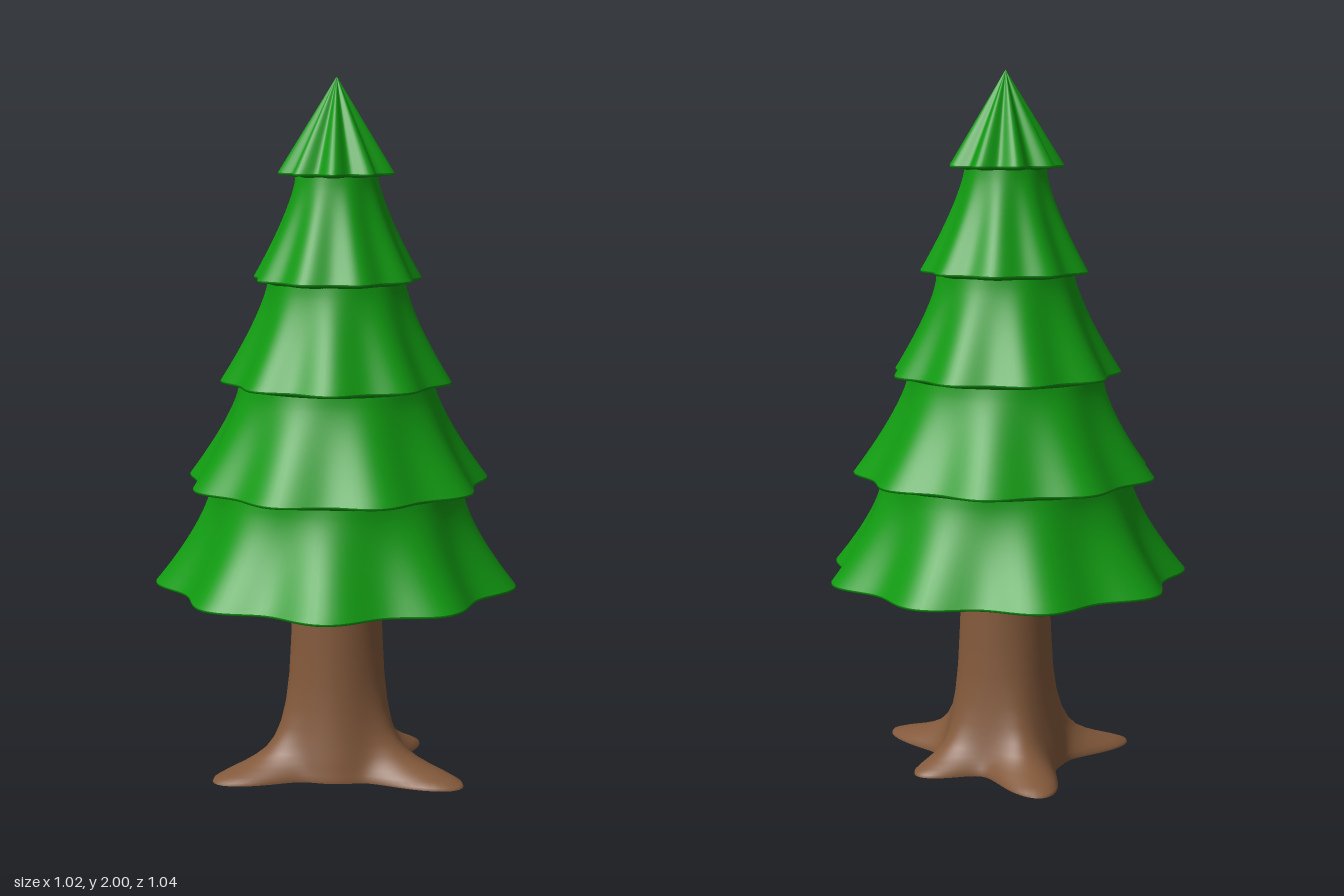
import * as THREE from 'three';

const CENTER_X = -0.015;
const SEGMENTS = 144;

// Smooth skin over closed rings; each row is [height, radius(angle)]
function ringSurface(rows) {
  const positions = [], index = [];
  rows.forEach(([y, radius], j) => {
    for (let i = 0; i < SEGMENTS; i++) {
      const a = (i / SEGMENTS) * Math.PI * 2;
      const r = radius(a);
      positions.push(r * Math.cos(a), y, r * Math.sin(a));
      if (j === rows.length - 1) continue;
      const p = j * SEGMENTS + i, q = j * SEGMENTS + (i + 1) % SEGMENTS;
      index.push(p, p + SEGMENTS, q, q, p + SEGMENTS, q + SEGMENTS);
    }
  });
  const geometry = new THREE.BufferGeometry();
  geometry.setAttribute('position', new THREE.Float32BufferAttribute(positions, 3));
  geometry.setIndex(index);
  geometry.computeVertexNormals();
  return geometry;
}

function addMesh(parent, name, rows, material) {
  const mesh = new THREE.Mesh(ringSurface(rows), material);
  mesh.name = name;
  parent.add(mesh);
}

// Foliage layers: rim height, rim radius, top height, top radius, inner radius
// and height of the underside, ripple depth at rim, slope curve
const TIERS = [
  { y: 0.568, r: 0.498, topY: 0.842, topR: 0.362, inR: 0.12, inY: 0.53, ripple: 0.026, curve: 1.5 },
  { y: 0.86, r: 0.42, topY: 1.135, topR: 0.28, inR: 0.345, inY: 0.835, ripple: 0.018, curve: 1.35 },
  { y: 1.15, r: 0.318, topY: 1.428, topR: 0.196, inR: 0.265, inY: 1.13, ripple: 0.014, curve: 1.35 },
  { y: 1.44, r: 0.231, topY: 1.725, topR: 0.116, inR: 0.185, inY: 1.422, ripple: 0.011, curve: 1.35 },
  { y: 1.735, r: 0.149, topY: 2.0, topR: 0, inR: 0.105, inY: 1.72, ripple: 0.017, curve: 1 },
];

// Roots: direction in degrees (from +x towards +z) and reach from the axis
const ROOTS = [[180, 0.395], [58, 0.42], [-13, 0.312], [-84, 0.375]];
const VALLEY = 0.185;

// Extra reach of the roots beyond the valley radius at a given angle
function rootReach(a) {
  let reach = 0;
  for (const [deg, r] of ROOTS) {
    const d = a - THREE.MathUtils.degToRad(deg);
    const wrapped = Math.atan2(Math.sin(d), Math.cos(d));
    reach += (r - VALLEY) * Math.exp(-((wrapped / 0.34) ** 2));
  }
  return reach;
}

export function createModel() {
  const group = new THREE.Group();
  const green = new THREE.MeshStandardMaterial({ color: 0x119a11 });
  const brown = new THREE.MeshStandardMaterial({ color: 0x83593b });

  // Foliage: nine-lobed skirts, every other one turned by half a lobe
  const foliage = new THREE.Group();
  foliage.name = 'foliage';
  TIERS.forEach((t, n) => {
    const wave = (a) => Math.cos(9 * a) * (n % 2 ? -1 : 1);
    const tier = new THREE.Group();
    tier.name = 'foliageTier' + (n + 1);
    const slope = [];
    const steps = 14;
    for (let k = 0; k <= steps; k++) {
      const u = k / steps;
      const fall = Math.pow(1 - u, t.curve);
      slope.push([
        t.y + (t.topY - t.y) * u,
        (a) => t.topR + (t.r - t.topR) * fall + t.ripple * (1 - u) * wave(a),
      ]);
    }
    const rim = (a) => t.r + t.ripple * wave(a);
    addMesh(tier, 'skirt', slope, green);
    addMesh(tier, 'underside', [
      [t.inY, () => t.inR],
      [t.inY + (t.y - t.inY) * 0.55, (a) => t.inR + (rim(a) - t.inR) * 0.6],
      [t.y - 0.006, rim],
      [t.y, rim],
    ], green);
    foliage.add(tier);
  });
  group.add(foliage);

  // Trunk: height, valley radius, share of the root reach
  const profile = [
    [0, 0.185, 1], [0.008, 0.185, 0.98], [0.02, 0.182, 0.84], [0.035, 0.179, 0.62],
    [0.05, 0.176, 0.44], [0.07, 0.172, 0.27], [0.1, 0.165, 0.16], [0.14, 0.157, 0.09],
    [0.2, 0.147, 0.045], [0.28, 0.139, 0.018], [0.38, 0.134, 0.004], [0.48, 0.13, 0], [0.56, 0.127, 0],
  ];
  const trunk = new THREE.Group();
  trunk.name = 'trunk';
  addMesh(trunk, 'trunkAndRoots', profile.map(([y, r, s]) => [y, (a) => r + s * rootReach(a)]), brown);
  addMesh(trunk, 'trunkBase', [[0, () => 0], [0, (a) => VALLEY + rootReach(a)]], brown);
  group.add(trunk);

  foliage.position.x = trunk.position.x = CENTER_X;
  return group;
}
